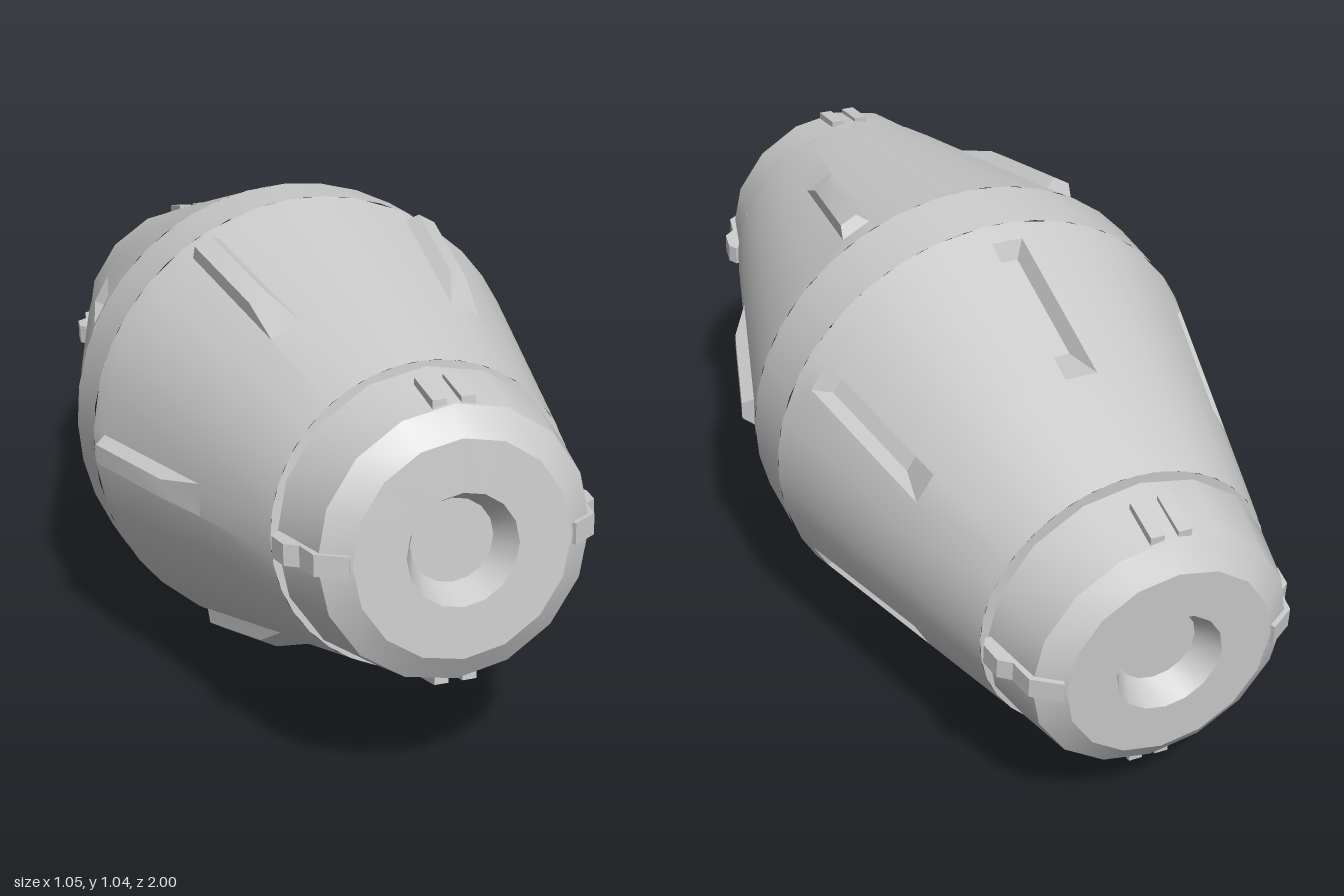
import * as THREE from 'three';
import { toCreasedNormals } from 'three/addons/utils/BufferGeometryUtils.js';

const mat = new THREE.MeshStandardMaterial({ color: 0xcccccc });

function part(name, geometry, crease = 0.45) {
  const m = new THREE.Mesh(toCreasedNormals(geometry, crease), mat);
  m.name = name;
  return m;
}

// Lathe around the z axis; points are [radius, z] with z ascending
function lathe(name, pts, sides) {
  const g = new THREE.LatheGeometry(pts.map(p => new THREE.Vector2(...p)), sides);
  return part(name, g.rotateX(Math.PI / 2));
}

// Prism from [radius, z] points, with its thickness across the radius
function prism(name, pts, thick, offset) {
  const shape = new THREE.Shape(pts.map(p => new THREE.Vector2(...p)));
  const g = new THREE.ExtrudeGeometry(shape, { depth: thick, bevelEnabled: false });
  return part(name, g.translate(0, 0, offset - thick / 2).rotateX(Math.PI / 2));
}

// Body radius at distance s from the middle
const radius = s => 0.515 - Math.max(0, s - 0.08) * (0.188 / 0.705);

// Tapered half of the body with six bevelled slots, raised or sunk by height
function taperedHalf(name, dir, phase, height) {
  const pos = [];
  const point = (a, s, w = 0, lift = 0) => {
    const r = radius(s) + lift, b = a + w / r;
    return [r * Math.cos(b), r * Math.sin(b), dir * s];
  };
  const quad = (a, b, c, d) => {
    const tris = dir > 0 ? [a, b, c, a, c, d] : [a, c, b, a, d, c];
    tris.forEach(p => pos.push(...p));
  };
  const rows = [0.08, 0.13, 0.52, 0.785];
  const sector = Math.PI / 3, W = 0.036, w = 0.021;
  for (let k = 0; k < 6; k++) {
    const a = phase + k * sector;
    // Columns across one sector, from slot edge to the next slot edge
    const cols = [[a, -W], [a, W], [a + sector * 0.28, 0], [a + sector * 0.43, 0],
      [a + sector * 0.57, 0], [a + sector * 0.72, 0], [a + sector, -W]];
    for (let c = 0; c < 6; c++) {
      for (let r = 0; r < 3; r++) {
        if (c === 0 && r === 1) continue;
        const [a0, w0] = cols[c], [a1, w1] = cols[c + 1];
        quad(point(a0, rows[r], w0), point(a1, rows[r], w1),
          point(a1, rows[r + 1], w1), point(a0, rows[r + 1], w0));
      }
    }
    // Slot walls, end ramp and inner plate
    const outer = [point(a, 0.13, -W), point(a, 0.13, W), point(a, 0.52, W), point(a, 0.52, -W)];
    const inner = [point(a, 0.145, -w, height), point(a, 0.145, w, height),
      point(a, 0.42, w, height), point(a, 0.42, -w, height)];
    for (let j = 0; j < 4; j++) {
      const n = (j + 1) % 4;
      quad(outer[j], outer[n], inner[n], inner[j]);
    }
    quad(...inner);
  }
  const g = new THREE.BufferGeometry();
  g.setAttribute('position', new THREE.Float32BufferAttribute(pos, 3));
  return part(name, g, 0.3);
}

// End cap with recessed socket, side latches and paired ribs
function endCap(name) {
  const cap = new THREE.Group();
  cap.name = name;
  cap.add(lathe('groove', [[0.327, 0.785], [0.3, 0.785], [0.3, 0.805]], 36));
  cap.add(lathe('capShell', [[0.29, 0.8], [0.32, 0.8], [0.286, 0.946], [0.228, 0.985],
    [0.118, 0.985], [0.088, 0.925], [0, 0.925]], 16));
  for (const turn of [0, Math.PI]) {
    const latch = prism('sideLatch', [[0.27, 0.81], [0.325, 0.805], [0.337, 0.825], [0.33, 0.875],
      [0.304, 0.895], [0.294, 0.95], [0.236, 0.989], [0.22, 0.95]], 0.045, 0);
    latch.rotation.z = turn;
    cap.add(latch);
    for (const side of [-1, 1]) {
      const rib = prism('capRib', [[0.26, 0.845], [0.315, 0.845], [0.296, 0.94], [0.26, 0.94]],
        0.03, side * 0.03);
      rib.rotation.z = turn + Math.PI / 2;
      cap.add(rib);
    }
  }
  return cap;
}

export function createModel() {
  const model = new THREE.Group();
  model.name = 'capsule';
  const body = new THREE.Group();
  body.name = 'tiltedBody';
  body.add(lathe('middleBand', [[0.515, -0.08], [0.515, 0.08]], 36));
  body.add(taperedHalf('frontHalf', 1, 0, 0.028));
  body.add(taperedHalf('backHalf', -1, Math.PI / 6, -0.04));
  const back = endCap('backCap');
  back.rotation.y = Math.PI;
  body.add(endCap('frontCap'), back);
  // Nose raised slightly
  body.rotation.x = -0.08;
  body.position.y = 0.522;
  model.add(body);
  return model;
}
